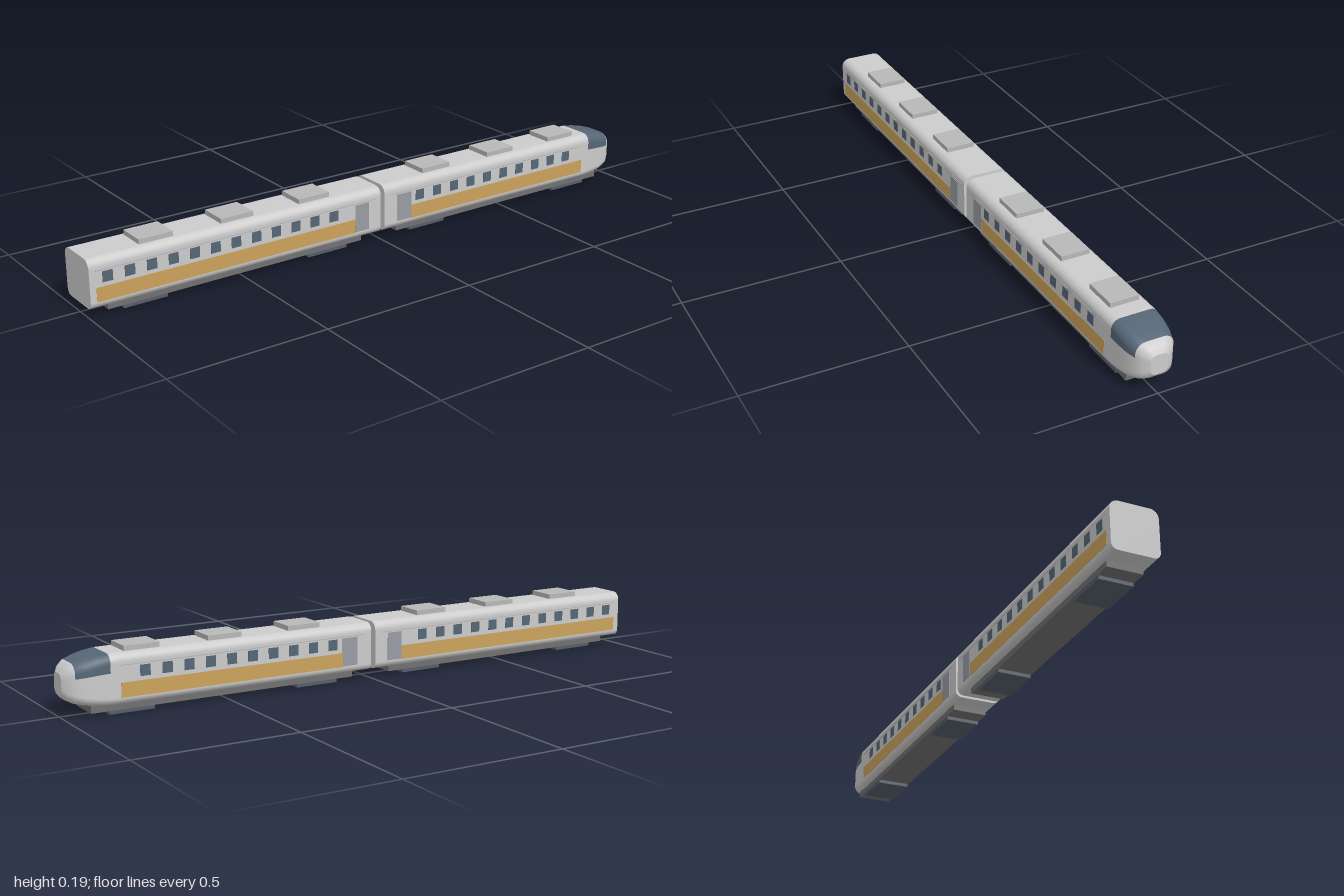
import * as THREE from 'three';

const mat = (color) => new THREE.MeshStandardMaterial({ color });
const BODY = mat(0xcccccc), ROOF = mat(0xb8b8b8), GLASS = mat(0x566676), STRIPE = mat(0xcca25c);
const DOOR = mat(0x989ca2), UNDER = mat(0x707070), BOGIE = mat(0x555e6a), BELLOWS = mat(0x5a5a5a);

// Box given by its extents on each axis
function box(parent, name, material, x0, x1, y0, y1, z0, z1) {
  const mesh = new THREE.Mesh(new THREE.BoxGeometry(x1 - x0, y1 - y0, z1 - z0), material);
  mesh.position.set((x0 + x1) / 2, (y0 + y1) / 2, (z0 + z1) / 2);
  mesh.name = name;
  parent.add(mesh);
}

// Thin panels on both flanks of the train
function sidePanels(parent, name, material, x0, x1, y0, y1, depth = 0.001) {
  for (const s of [1, -1]) {
    const a = s * 0.07, b = s * (0.074 + depth);
    box(parent, name, material, x0, x1, y0, y1, Math.min(a, b), Math.max(a, b));
  }
}

// Rounded-rectangle cross-section, from the +z waist over the roof and back underneath
const ARC = 6;
function section([x, hw, y0, y1, rTop, rBot]) {
  const pts = [];
  const waist = y0 + (y1 - y0) * 0.64;
  const corner = (cz, cy, r, start) => {
    for (let i = 0; i <= ARC; i++) {
      const t = start + (i / ARC) * Math.PI / 2;
      pts.push(new THREE.Vector3(x, cy + r * Math.sin(t), cz + r * Math.cos(t)));
    }
  };
  pts.push(new THREE.Vector3(x, waist, hw));
  corner(hw - rTop, y1 - rTop, rTop, 0);
  corner(-hw + rTop, y1 - rTop, rTop, Math.PI / 2);
  pts.push(new THREE.Vector3(x, waist, -hw));
  corner(-hw + rBot, y0 + rBot, rBot, Math.PI);
  corner(hw - rBot, y0 + rBot, rBot, Math.PI * 1.5);
  return pts;
}

// Skin through the sections; faces picked by isGlass become a separate windscreen
function loft(parent, name, stations, isGlass = () => false) {
  const rings = stations.map(section);
  const n = rings[0].length;
  const body = [], glass = [];
  for (let r = 0; r < rings.length - 1; r++) {
    for (let i = 0; i < n; i++) {
      const j = (i + 1) % n;
      const a = r * n + i, b = r * n + j, c = a + n, d = b + n;
      (isGlass(r, i) ? glass : body).push(a, c, b, b, c, d);
    }
  }
  const whole = new THREE.BufferGeometry().setFromPoints(rings.flat());
  whole.setIndex([...body, ...glass]);
  whole.computeVertexNormals();
  const addPart = (partName, index, material) => {
    const g = whole.clone();
    g.setIndex(index);
    const mesh = new THREE.Mesh(g, material);
    mesh.name = partName;
    parent.add(mesh);
  };
  addPart(name, body, BODY);
  if (glass.length) addPart('windscreen', glass, GLASS);

  // Flat ends
  for (const [ring, front] of [[rings[0], false], [rings[rings.length - 1], true]]) {
    const index = [];
    for (let i = 1; i < n - 1; i++) index.push(0, ...(front ? [i + 1, i] : [i, i + 1]));
    const g = new THREE.BufferGeometry().setFromPoints(ring);
    g.setIndex(index);
    g.computeVertexNormals();
    const cap = new THREE.Mesh(g, BODY);
    cap.name = front ? 'frontEndCap' : 'rearEndCap';
    parent.add(cap);
  }
}

// Everything that both cars share
function fitOut(car, c) {
  for (let i = 0; i < c.windows; i++) {
    const x = c.windowStart + i * 0.069;
    sidePanels(car, 'window', GLASS, x - 0.016, x + 0.016, 0.106, 0.139);
  }
  sidePanels(car, 'stripe', STRIPE, c.stripe[0], c.stripe[1], 0.05, 0.094);
  sidePanels(car, 'door', DOOR, c.door[0], c.door[1], 0.052, 0.14, 0.0015);
  sidePanels(car, 'rainGutter', ROOF, c.gutter[0], c.gutter[1], 0.143, 0.146);
  box(car, 'underframe', UNDER, c.under[0], c.under[1], 0.011, 0.032, -0.055, 0.055);
  for (const x of c.bogies) box(car, 'bogie', BOGIE, x - 0.07, x + 0.07, 0, 0.014, -0.053, 0.053);
  for (const x of c.units) box(car, 'roofUnit', ROOF, x - 0.055, x + 0.055, 0.172, 0.193, -0.046, 0.046);
}

export function createModel() {
  const train = new THREE.Group();
  train.name = 'train';

  const rearCar = new THREE.Group();
  rearCar.name = 'rearCar';
  loft(rearCar, 'rearCarBody', [
    [-1, 0.074, 0.029, 0.178, 0.026, 0.02],
    [-0.009, 0.074, 0.029, 0.178, 0.026, 0.02],
  ]);
  fitOut(rearCar, {
    windows: 12, windowStart: -0.944, stripe: [-0.98, -0.105], door: [-0.105, -0.055],
    gutter: [-0.98, -0.03], under: [-0.94, -0.07], bogies: [-0.82, -0.195], units: [-0.775, -0.508, -0.238],
  });

  // Leading car with the tapering nose
  const leadCar = new THREE.Group();
  leadCar.name = 'leadCar';
  const lead = [
    [0.006, 0.074, 0.029, 0.178, 0.026, 0.02],
    [0.84, 0.074, 0.029, 0.178, 0.026, 0.02],
    [0.87, 0.074, 0.029, 0.178, 0.027, 0.021],
    [0.905, 0.073, 0.031, 0.174, 0.03, 0.023],
    [0.94, 0.069, 0.035, 0.167, 0.032, 0.025],
    [0.97, 0.06, 0.042, 0.158, 0.032, 0.026],
    [0.988, 0.046, 0.051, 0.146, 0.028, 0.024],
    [1, 0.028, 0.065, 0.128, 0.018, 0.018],
  ];
  const waistIndex = 2 * (ARC + 1) + 1;
  loft(leadCar, 'leadCarBody', lead, (r, i) => r >= 2 && r <= 4 && i < waistIndex);
  fitOut(leadCar, {
    windows: 10, windowStart: 0.144, stripe: [0.11, 0.84], door: [0.057, 0.11],
    gutter: [0.03, 0.84], under: [0.065, 0.925], bogies: [0.19, 0.8], units: [0.23, 0.497, 0.762],
  });

  train.add(rearCar, leadCar);
  box(train, 'gangway', BELLOWS, -0.02, 0.02, 0.045, 0.155, -0.042, 0.042);
  return train;
}
